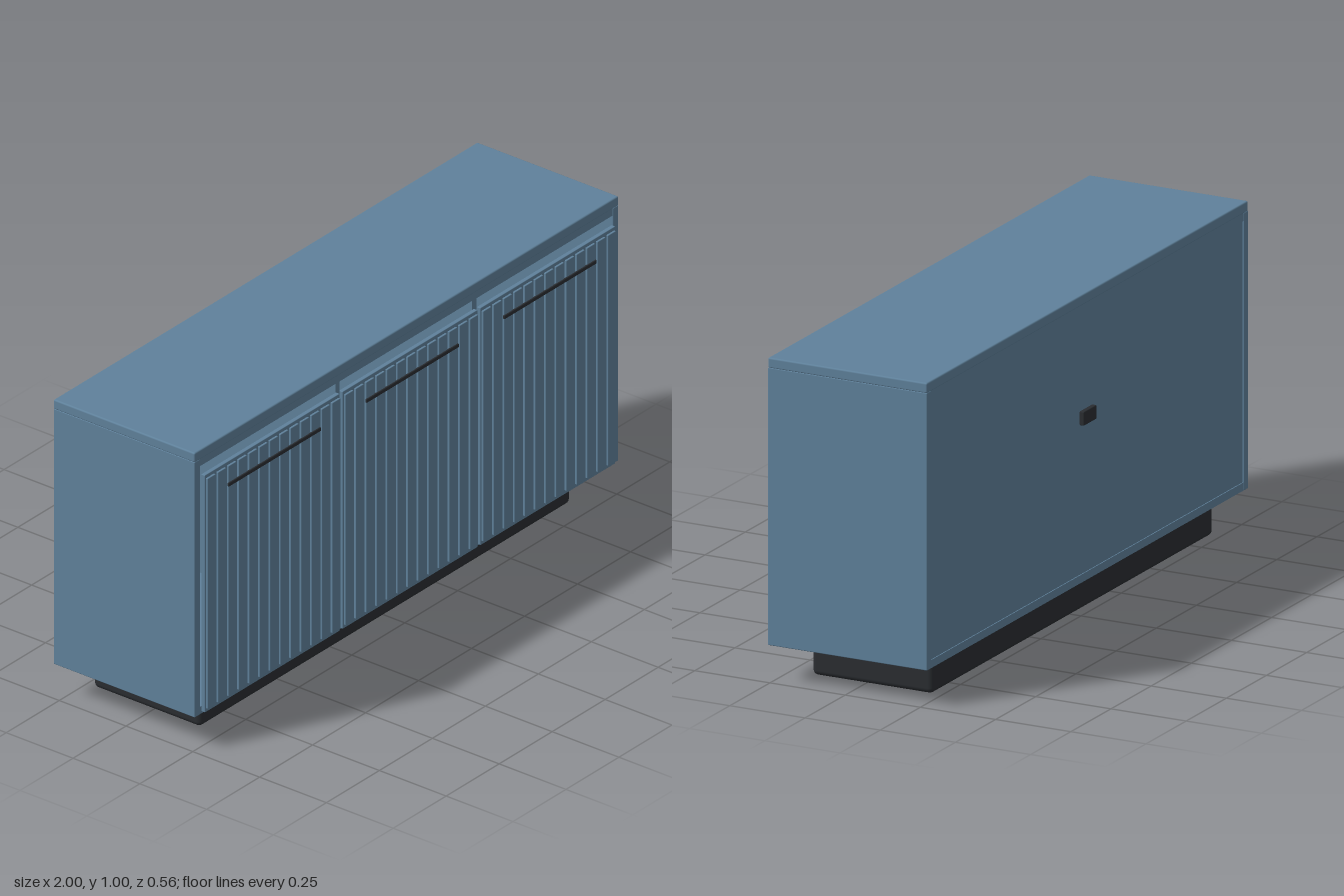
import * as THREE from 'three';
import { RoundedBoxGeometry } from 'three/addons/geometries/RoundedBoxGeometry.js';

const paint = new THREE.MeshStandardMaterial({ color: 0x5f819b });
const dark = new THREE.MeshStandardMaterial({ color: 0x2a2d31 });

// Box given by its limits on each axis; r rounds the edges
function block(parent, name, [x0, x1], [y0, y1], [z0, z1], material = paint, r = 0) {
  const size = [x1 - x0, y1 - y0, z1 - z0];
  const geometry = r ? new RoundedBoxGeometry(...size, 3, r) : new THREE.BoxGeometry(...size);
  const mesh = new THREE.Mesh(geometry, material);
  mesh.name = name;
  mesh.position.set((x0 + x1) / 2, (y0 + y1) / 2, (z0 + z1) / 2);
  parent.add(mesh);
  return mesh;
}

// Door with vertical slats and a slim bar handle, centred on its own x = 0
function makeDoor() {
  const door = new THREE.Group();
  const slats = 13, pitch = 0.049, slatWidth = 0.038;
  block(door, 'doorPanel', [-0.318, 0.318], [0.123, 0.917], [0.256, 0.27], paint, 0.002);
  for (let i = 0; i < slats; i++) {
    const x = (i - (slats - 1) / 2) * pitch;
    block(door, 'slat', [x - slatWidth / 2, x + slatWidth / 2], [0.135, 0.906], [0.269, 0.277], paint, 0.002);
  }
  block(door, 'handle', [-0.218, 0.218], [0.839, 0.852], [0.274, 0.281], dark, 0.003);
  return door;
}

export function createModel() {
  const model = new THREE.Group();
  model.name = 'sideboard';

  // Plinth
  block(model, 'plinth', [-0.875, 0.875], [0, 0.116], [-0.223, 0.178], dark, 0.016);

  // Carcass panels
  const depth = [-0.272, 0.257];
  const carcass = new THREE.Group();
  carcass.name = 'carcass';
  model.add(carcass);
  block(carcass, 'top', [-1, 1], [0.968, 1], depth, paint, 0.005);
  block(carcass, 'topRail', [-0.976, 0.976], [0.945, 0.97], [-0.27, 0.255]);
  block(carcass, 'bottom', [-0.976, 0.976], [0.115, 0.14], [-0.27, 0.255]);
  for (const s of [-1, 1]) {
    const side = block(carcass, 'side', [0.974, 1], [0.115, 0.97], depth, paint, 0.003);
    side.position.x *= s;
    const divider = block(carcass, 'divider', [0.313, 0.333], [0.138, 0.947], [-0.262, 0.254]);
    divider.position.x *= s;
  }
  block(carcass, 'backPanel', [-0.975, 0.975], [0.136, 0.947], [-0.267, -0.255]);

  // Cable outlet on the back
  block(model, 'cableOutlet', [-0.04, 0.04], [0.6, 0.643], [-0.281, -0.264], dark, 0.003);

  // Three doors
  ['rightDoor', 'middleDoor', 'leftDoor'].forEach((name, i) => {
    const door = makeDoor();
    door.name = name;
    door.position.x = (i - 1) * 0.65;
    model.add(door);
  });

  return model;
}
